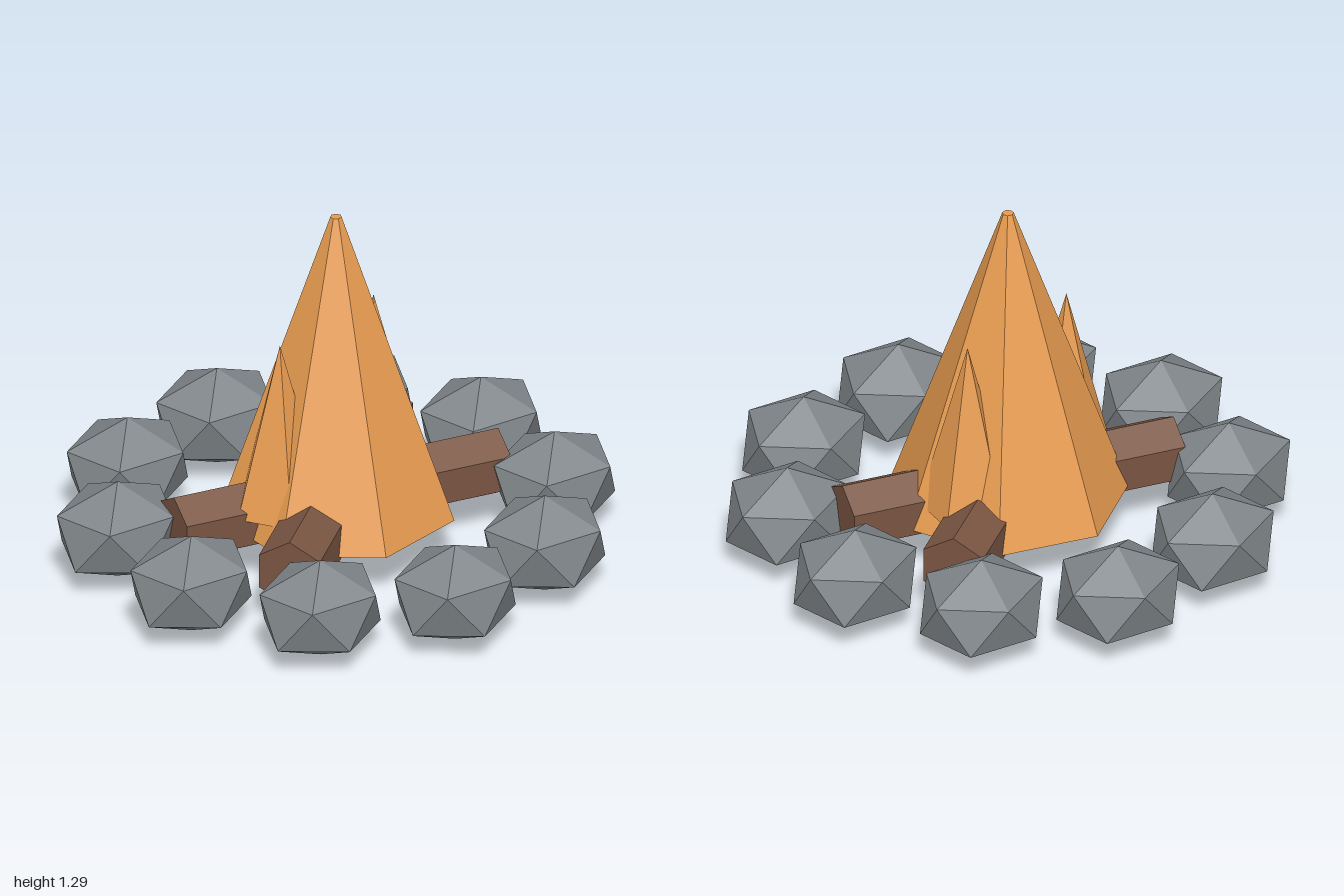
import * as THREE from 'three';

const paint = (color) => new THREE.MeshStandardMaterial({ color, flatShading: true });

export function createModel() {
  const group = new THREE.Group();
  const stoneMat = paint(0x80868a);
  const logMat = paint(0x7a5542);
  const flameMat = paint(0xe89c50);

  const add = (name, geometry, material, x, y, z) => {
    const mesh = new THREE.Mesh(geometry, material);
    mesh.name = name;
    mesh.position.set(x, y, z);
    group.add(mesh);
    return mesh;
  };

  // Ring of ten squashed stones, each standing on a corner
  const stone = new THREE.IcosahedronGeometry(1, 0);
  stone.rotateZ(-Math.atan(2 / (1 + Math.sqrt(5))));
  stone.scale(0.252, 0.182, 0.226);
  for (let i = 0; i < 10; i++) {
    const a = (i / 10) * Math.PI * 2;
    add('stone' + (i + 1), stone, stoneMat, 0.774 * Math.cos(a), 0.182, 0.774 * Math.sin(a));
  }

  // Two crossed six-sided logs, ridge upwards
  const log = new THREE.CylinderGeometry(0.125, 0.125, 1.23, 6);
  log.rotateY(Math.PI / 2);
  log.rotateZ(Math.PI / 2);
  for (const side of [-1, 1]) {
    const mesh = add(side < 0 ? 'logA' : 'logB', log, logMat, 0, 0.215, 0);
    mesh.rotation.y = side * THREE.MathUtils.degToRad(25);
  }

  // Tall central flame with a blunt tip, corner to the back
  const flame = new THREE.CylinderGeometry(0.02, 0.42, 1.125, 7);
  flame.rotateY(Math.PI);
  add('mainFlame', flame, flameMat, 0, 0.17 + 1.125 / 2, 0);

  // Small pointed flames on both sides
  const smallFlame = new THREE.ConeGeometry(0.17, 0.63, 5);
  smallFlame.rotateY(Math.PI);
  add('leftFlame', smallFlame, flameMat, 0.25, 0.565, -0.042);
  add('rightFlame', smallFlame, flameMat, -0.25, 0.565, -0.042);

  return group;
}
